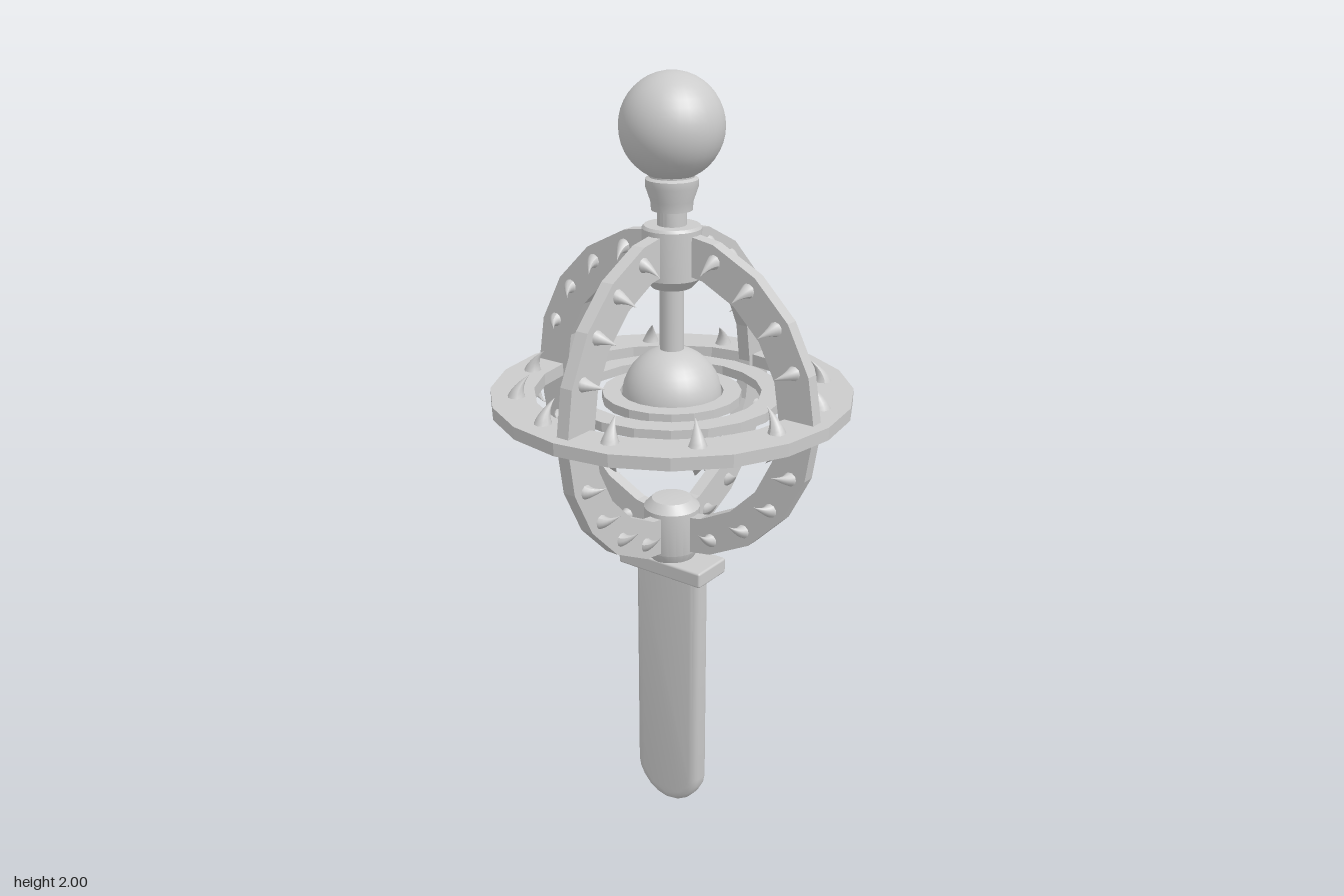
import * as THREE from 'three';
import { RoundedBoxGeometry } from 'three/addons/geometries/RoundedBoxGeometry.js';
import { toCreasedNormals } from 'three/addons/utils/BufferGeometryUtils.js';

const CORE_Y = 1.21;
const smooth = new THREE.MeshStandardMaterial({ color: 0xcccccc });
const faceted = new THREE.MeshStandardMaterial({ color: 0xcccccc, flatShading: true });

function addMesh(parent, name, geometry, y = 0, material = smooth) {
  const mesh = new THREE.Mesh(geometry, material);
  mesh.name = name;
  mesh.position.y = y;
  parent.add(mesh);
  return mesh;
}

// Turned part with crisp edges, from [radius, height] pairs listed bottom to top
function turned(points, segments = 24) {
  const profile = points.map(([r, y]) => new THREE.Vector2(r, y));
  return toCreasedNormals(new THREE.LatheGeometry(profile, segments), 0.5);
}

// Flat twenty-sided ring with a rectangular section
function flatRing(inner, outer, thickness) {
  const h = thickness / 2;
  const section = [[inner, -h], [outer, -h], [outer, h], [inner, h], [inner, -h]];
  return new THREE.LatheGeometry(section.map(([r, y]) => new THREE.Vector2(r, y)), 20);
}

// Cone along +y whose tip curls towards -x
function claw(radius, length, bend) {
  const geometry = new THREE.ConeGeometry(radius, length, 10, 6);
  geometry.translate(0, length / 2, 0);
  const p = geometry.attributes.position;
  for (let i = 0; i < p.count; i++) {
    const t = p.getY(i) / length;
    p.setX(i, p.getX(i) - bend * t * t);
  }
  geometry.computeVertexNormals();
  return geometry;
}

// Ring with claws on both faces at the given angles in degrees
function spikedRing(name, inner, outer, thickness, angles, clawRadius, clawGeometry) {
  const group = new THREE.Group();
  group.name = name;
  addMesh(group, 'ringBand', flatRing(inner, outer, thickness), 0, faceted);
  for (const angle of angles) {
    const spoke = new THREE.Group();
    spoke.name = 'clawPair';
    spoke.rotation.y = THREE.MathUtils.degToRad(angle);
    for (const side of [1, -1]) {
      const spike = addMesh(spoke, 'claw', clawGeometry, side * thickness * 0.45);
      spike.position.x = clawRadius;
      if (side < 0) spike.rotation.x = Math.PI;
    }
    group.add(spoke);
  }
  return group;
}

export function createModel() {
  const model = new THREE.Group();
  model.name = 'ringedSceptre';

  // Blade-like grip with a rounded end
  const w = 0.103;
  const outline = new THREE.Shape();
  outline.moveTo(-w, 0.74);
  outline.lineTo(-w, 0.1);
  outline.bezierCurveTo(-w, 0.06, -0.06, 0, 0, 0);
  outline.bezierCurveTo(0.06, 0, w, 0.06, w, 0.1);
  outline.lineTo(w, 0.74);
  outline.closePath();
  const blade = new THREE.ExtrudeGeometry(outline, {
    depth: 0.016, bevelEnabled: true, bevelThickness: 0.022, bevelSize: 0.025,
    bevelOffset: -0.025, bevelSegments: 4, curveSegments: 5,
  });
  blade.translate(0, 0, -0.008);
  addMesh(model, 'blade', toCreasedNormals(blade, 0.6));
  addMesh(model, 'guard', new RoundedBoxGeometry(0.262, 0.042, 0.12, 2, 0.006), 0.745);

  // Sockets holding the cage at bottom and top
  addMesh(model, 'lowerSocket', turned([
    [0, 0.755], [0.055, 0.755], [0.073, 0.79], [0.073, 0.905], [0.052, 0.927], [0, 0.932],
  ]));
  addMesh(model, 'upperSocket', turned([
    [0, 1.485], [0.05, 1.49], [0.073, 1.515], [0.073, 1.635], [0.068, 1.642], [0, 1.642],
  ]));
  addMesh(model, 'coreRod', new THREE.CylinderGeometry(0.03, 0.03, 0.25, 20), 1.4);

  // Core with two plain rings around it
  addMesh(model, 'coreSphere', new THREE.SphereGeometry(0.125, 32, 20), CORE_Y);
  addMesh(model, 'innerRing', flatRing(0.13, 0.175, 0.024), CORE_Y, faceted);
  addMesh(model, 'middleRing', flatRing(0.225, 0.28, 0.024), CORE_Y, faceted);

  // Level outer ring with twelve claws per face
  const levelAngles = Array.from({ length: 12 }, (_, i) => 15 + i * 30);
  const levelRing = spikedRing('levelRing', 0.345, 0.455, 0.032, levelAngles,
    0.388, claw(0.023, 0.058, 0.036));
  levelRing.position.y = CORE_Y;
  model.add(levelRing);

  // Two crossed upright rings with four claws per quarter
  const uprightAngles = [];
  for (let quarter = 0; quarter < 4; quarter++) {
    for (let i = 0; i < 4; i++) uprightAngles.push(quarter * 90 + 20.3 + i * 16.5);
  }
  const smallClaw = claw(0.019, 0.042, 0.03);
  for (const [name, turn] of [['uprightRingAcross', 0], ['uprightRingAlong', Math.PI / 2]]) {
    const ring = spikedRing(name, 0.328, 0.425, 0.034, uprightAngles, 0.387, smallClaw);
    ring.rotation.order = 'YXZ';
    ring.rotation.set(Math.PI / 2, turn, 0);
    ring.position.y = CORE_Y;
    model.add(ring);
  }

  // Neck, cup and ball on top
  addMesh(model, 'neck', turned([
    [0.036, 1.63], [0.036, 1.675], [0.05, 1.678], [0.052, 1.7], [0.064, 1.735], [0.064, 1.752],
    [0.055, 1.757], [0.055, 1.764], [0.067, 1.768], [0.067, 1.78], [0, 1.785],
  ]));
  addMesh(model, 'topBall', new THREE.SphereGeometry(0.126, 32, 20), 1.874);

  return model;
}
